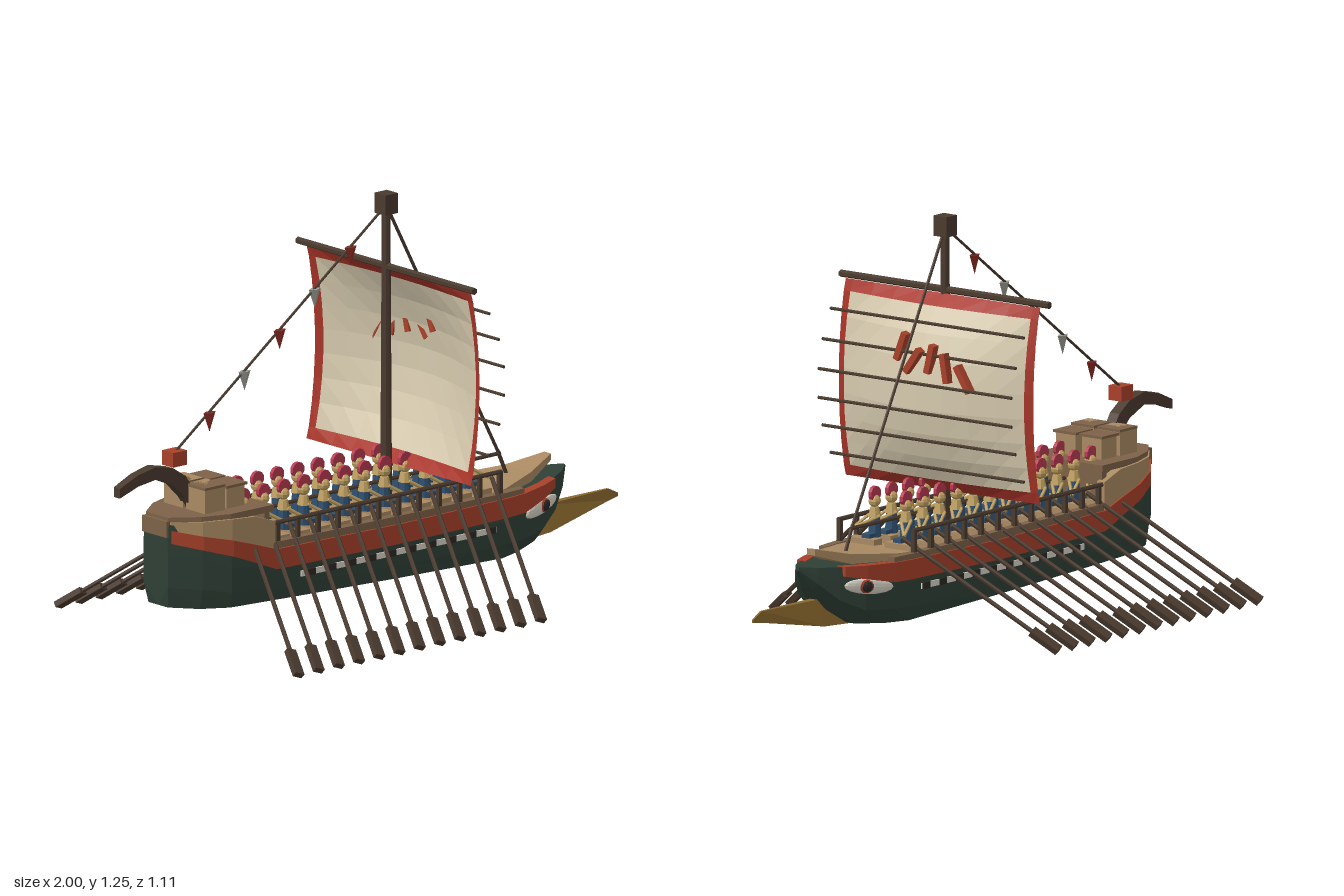
import * as THREE from 'three';

const mat = (color, side = THREE.FrontSide) => new THREE.MeshStandardMaterial({ color, flatShading: true, side });
const M = {
  hull: mat(0x2f4036), red: mat(0xa8412a), tan: mat(0xa98a62), brown: mat(0x4a3a2e), dark: mat(0x2b2624),
  gold: mat(0x8a682e), white: mat(0xd8d4c8), blue: mat(0x2f5070), skin: mat(0xc0a060), crest: mat(0xb83a50),
  pennantRed: mat(0x8a2a22), grey: mat(0x9a9a92), strake: mat(0x7d6248),
  cream: mat(0xd6caae, THREE.DoubleSide), border: mat(0xa83428, THREE.DoubleSide),
};

// Piecewise linear lookup in a table of [x, value]
function at(table, x) {
  for (let i = 1; i < table.length; i++) {
    const [x0, v0] = table[i - 1], [x1, v1] = table[i];
    if (x <= x1) return v0 + (v1 - v0) * Math.max(0, (x - x0) / (x1 - x0));
  }
  return table[table.length - 1][1];
}
const width = x => at([[-0.835, 0.055], [-0.76, 0.115], [-0.67, 0.147], [-0.4, 0.15], [0.42, 0.15],
  [0.5, 0.142], [0.6, 0.115], [0.68, 0.08], [0.74, 0.045], [0.785, 0.006]], x);
const waleY = x => at([[-0.835, 0.36], [-0.65, 0.31], [-0.5, 0.253], [0, 0.245], [0.5, 0.25], [0.68, 0.272]], x);

function triangles(pos) {
  const g = new THREE.BufferGeometry();
  g.setAttribute('position', new THREE.Float32BufferAttribute(pos.flat(), 3));
  g.computeVertexNormals();
  return g;
}

// Skin closed rings that run along +x; each ring turns from the bottom towards +z and up
function loft(rings) {
  const pos = [], n = rings[0].length, last = rings.length - 1;
  for (let i = 0; i < last; i++) for (let j = 0; j < n; j++) {
    const k = (j + 1) % n, a = rings[i][j], b = rings[i][k], c = rings[i + 1][k], d = rings[i + 1][j];
    pos.push(a, d, b, b, d, c);
  }
  for (let j = 1; j < n - 1; j++) {
    pos.push(rings[0][0], rings[0][j], rings[0][j + 1]);
    pos.push(rings[last][0], rings[last][j + 1], rings[last][j]);
  }
  return triangles(pos);
}
const boxRing = (x, y0, y1, z0, z1) => [[x, y0, z0], [x, y0, z1], [x, y1, z1], [x, y1, z0]];
const plate = rows => loft(rows.map(([x, y0, y1, w0, w1 = w0]) =>
  [[x, y0, -w0], [x, y0, w0], [x, y1, w1], [x, y1, -w1]]));

function add(parent, name, geometry, material, x = 0, y = 0, z = 0) {
  const m = new THREE.Mesh(geometry, material);
  m.name = name;
  m.position.set(x, y, z);
  parent.add(m);
  return m;
}
const box = (p, name, m, size, pos) => add(p, name, new THREE.BoxGeometry(...size), m, ...pos);

// Round bar between two points
function rod(parent, name, m, a, b, r0, r1 = r0, sides = 6) {
  const A = new THREE.Vector3(...a), B = new THREE.Vector3(...b), d = B.clone().sub(A);
  const mesh = add(parent, name, new THREE.CylinderGeometry(r1, r0, d.length(), sides), m);
  mesh.position.copy(A).add(B).multiplyScalar(0.5);
  mesh.quaternion.setFromUnitVectors(new THREE.Vector3(0, 1, 0), d.normalize());
  return mesh;
}

function buildHull(g) {
  // Stations: x, keel height, top height, bottom width factor
  const stations = [[-0.835, 0.14, 0.4, 0.8], [-0.76, 0.134, 0.38, 0.9], [-0.67, 0.13, 0.32, 0.95], [-0.4, 0.12, 0.27, 0.96],
    [0, 0.105, 0.27, 0.96], [0.42, 0.09, 0.27, 0.9], [0.5, 0.092, 0.275, 0.8], [0.6, 0.1, 0.28, 0.65],
    [0.68, 0.15, 0.284, 0.5], [0.74, 0.22, 0.288, 0.5], [0.785, 0.28, 0.292, 0.7]];
  add(g, 'hull', loft(stations.map(([x, b, t, k]) => {
    const w = width(x), h = t - b;
    const half = [[w * k, b], [w, b + h * 0.25], [w, b + h * 0.65], [w * 0.95, t]];
    const side = s => half.map(([z, y]) => [x - (x < -0.8 && y > 0.15 ? 0.01 : 0), y, s * z]);
    return [[x, b, 0], ...side(1), ...side(-1).reverse()];
  })), M.hull);
  add(g, 'ram', plate([[0.58, 0.095, 0.16, 0.04, 0.02], [0.7, 0.102, 0.182, 0.036, 0.014],
    [0.96, 0.15, 0.185, 0.008, 0.004], [1, 0.155, 0.165, 0.002]]), M.gold);

  // Bands that follow both sides
  const xs = [-0.835, -0.76, -0.67, -0.58, -0.5, -0.4, 0, 0.42, 0.5, 0.6, 0.67];
  const band = (name, m, list, low, high, out) => {
    const geo = loft(list.map(x => boxRing(x, low(x), high(x), Math.max(width(x) - 0.025, 0.005), width(x) + out)));
    for (const s of [1, -1]) add(g, name, geo, m).scale.z = s;
  };
  const tall = x => at([[-0.8, 0.02], [-0.5, 0.031], [0.5, 0.03], [0.67, 0.015]], x);
  band('wale', M.red, xs, x => waleY(x) - tall(x), x => waleY(x) + tall(x), 0.008);
  band('topStrake', M.strake, xs.slice(3, 9), x => waleY(x) + 0.025, x => at([[-0.5, 0.305], [0.5, 0.295]], x), 0.002);
  band('sternBulwark', M.tan, xs.slice(0, 5), x => waleY(x) + 0.015, x => at([[-0.6, 0.405], [-0.5, 0.37]], x), 0.003);
  box(g, 'sternPanel', M.strake, [0.015, 0.05, 0.11], [-0.843, 0.385, 0]);

  // Decks
  add(g, 'mainDeck', plate([[-0.7, 0.26, 0.285, 0.13], [0.42, 0.26, 0.285, 0.13]]), M.tan);
  add(g, 'foreDeck', plate([[0.36, 0.265, 0.292, 0.125], [0.45, 0.275, 0.296, 0.115], [0.6, 0.28, 0.31, 0.06],
    [0.72, 0.318, 0.338, 0.015]]), M.tan);
  add(g, 'sternDeck', plate([-0.84, -0.76, -0.67, -0.5].map(x => [x, 0.4, 0.42, width(x) - 0.005])), M.strake);
  box(g, 'sternBulkhead', M.strake, [0.02, 0.13, 0.27], [-0.52, 0.34, 0]);

  for (const s of [1, -1]) {
    // Oar port strip
    box(g, 'portStrip', M.white, [0.78, 0.018, 0.008], [-0.01, 0.19, s * 0.151]);
    for (let i = 0; i < 10; i++) box(g, 'oarPort', M.dark, [0.035, 0.02, 0.01], [-0.36 + i * 0.08, 0.19, s * 0.152]);
    // Bow eye
    const eye = new THREE.Group();
    eye.name = 'bowEye';
    eye.position.set(0.59, 0.218, s * 0.118);
    eye.rotation.set(0, s * 0.3, 0.12);
    add(eye, 'eyeWhite', new THREE.SphereGeometry(1, 14, 8), M.white).scale.set(0.09, 0.024, 0.01);
    add(eye, 'iris', new THREE.SphereGeometry(1, 10, 8), M.red, 0.012, 0, s * 0.003).scale.set(0.03, 0.021, 0.012);
    add(eye, 'pupil', new THREE.SphereGeometry(1, 10, 8), M.dark, 0.012, 0, s * 0.005).scale.set(0.022, 0.018, 0.014);
    g.add(eye);
  }
}

function buildStern(g) {
  add(g, 'sternTail', plate([[-1, 0.5, 0.53, 0.014], [-0.93, 0.525, 0.56, 0.016], [-0.86, 0.535, 0.574, 0.018],
    [-0.79, 0.505, 0.558, 0.018], [-0.74, 0.455, 0.525, 0.018], [-0.71, 0.41, 0.48, 0.018]]), M.brown);
  box(g, 'sternLantern', M.red, [0.055, 0.045, 0.05], [-0.77, 0.585, 0]);
  for (const z of [-0.05, 0.05]) {
    box(g, 'crate', M.tan, [0.08, 0.08, 0.085], [-0.69, 0.46, z]);
    box(g, 'crate', M.tan, [0.072, 0.07, 0.075], [-0.603, 0.455, z]);
    for (const x of [-0.69, -0.603]) box(g, 'crateLid', M.strake, [0.083, 0.008, 0.088], [x, x < -0.65 ? 0.496 : 0.488, z]);
  }
}

function buildRowers(g) {
  for (const s of [1, -1]) {
    rod(g, 'sideRail', M.brown, [-0.63, 0.362, s * 0.142], [0.41, 0.362, s * 0.142], 0.007);
    for (let i = 0; i < 13; i++) {
      const x = -0.585 + i * 0.0807;
      // Oar with blade
      const oar = new THREE.Group();
      oar.name = 'oar';
      const tip = new THREE.Vector3(x - 0.17, 0.016, s * 0.545), grip = new THREE.Vector3(x + 0.025, 0.335, s * 0.1);
      oar.position.copy(tip);
      oar.quaternion.setFromUnitVectors(new THREE.Vector3(0, 1, 0), grip.clone().sub(tip).normalize());
      const len = grip.distanceTo(tip);
      add(oar, 'oarShaft', new THREE.CylinderGeometry(0.007, 0.007, len, 6), M.brown, 0, len / 2, 0);
      box(oar, 'oarBlade', M.brown, [0.032, 0.1, 0.018], [0, 0.05, 0]);
      g.add(oar);
      box(g, 'railPost', M.brown, [0.013, 0.09, 0.013], [x + 0.02, 0.32, s * 0.142]);
      if (i === 0) continue;
      // Bench and seated rower
      box(g, 'bench', M.tan, [0.038, 0.025, 0.1], [x - 0.01, 0.298, s * 0.07]);
      const rower = new THREE.Group();
      rower.name = 'rower';
      rower.position.set(x - 0.045, 0.3, s * 0.06);
      add(rower, 'tunic', new THREE.CylinderGeometry(0.016, 0.02, 0.06, 8), M.blue, 0, 0.04, 0);
      box(rower, 'legs', M.blue, [0.045, 0.016, 0.03], [0.022, 0.015, 0]);
      add(rower, 'shoulders', new THREE.CylinderGeometry(0.013, 0.02, 0.03, 8), M.skin, 0, 0.085, 0);
      add(rower, 'head', new THREE.SphereGeometry(0.019, 8, 6), M.skin, 0, 0.118, 0);
      add(rower, 'crest', new THREE.CylinderGeometry(0.024, 0.024, 0.012, 10), M.crest, 0, 0.14, 0).rotation.x = Math.PI / 2;
      for (const a of [1, -1]) rod(rower, 'arm', M.skin, [0, 0.075, a * 0.02], [0.06, 0.038, s * 0.04], 0.005);
      g.add(rower);
    }
  }
  rod(g, 'centreRail', M.brown, [-0.5, 0.365, 0], [0.53, 0.37, 0], 0.006);
  rod(g, 'railStay', M.brown, [0.52, 0.38, 0], [0.56, 0.29, 0], 0.006);
}

function buildRig(g) {
  rod(g, 'mast', M.brown, [0.075, 0.28, 0], [0.075, 1.21, 0], 0.018, 0.013, 8);
  box(g, 'mastHead', M.brown, [0.05, 0.062, 0.05], [0.075, 1.225, 0]);
  rod(g, 'yard', M.brown, [0.075, 1.03, -0.4], [0.075, 1.03, 0.4], 0.011);

  // Billowing sail with a border
  const sailX = (y, z) => {
    const b = Math.pow(Math.max(0, Math.sin(Math.PI * (y - 0.42) / 0.6)), 0.75);
    return 0.085 + b * (0.035 + 0.09 * Math.cos(z * Math.PI / 0.74));
  };
  const lines = (c, half, inner, n) => [c - half,
    ...Array.from({ length: n + 1 }, (_, i) => c - inner + 2 * inner * i / n), c + half];
  const Z = lines(0, 0.372, 0.345, 8), Y = lines(0.72, 0.3, 0.265, 7), cream = [], border = [];
  for (let i = 0; i < Z.length - 1; i++) for (let j = 0; j < Y.length - 1; j++) {
    const p = (a, b) => [sailX(Y[b], Z[a]), Y[b], Z[a]];
    const edge = i === 0 || j === 0 || i === Z.length - 2 || j === Y.length - 2;
    (edge ? border : cream).push(p(i, j), p(i, j + 1), p(i + 1, j), p(i + 1, j), p(i, j + 1), p(i + 1, j + 1));
  }
  add(g, 'sail', triangles(cream), M.cream);
  add(g, 'sailBorder', triangles(border), M.border);
  for (const y of [0.94, 0.853, 0.765, 0.677, 0.59, 0.5]) {
    const x = sailX(y, 0) + 0.012;
    rod(g, 'sailBatten', M.brown, [x, y, -0.37], [x, y, 0.37], 0.005);
  }
  // Slanted stripes: z, y, tilt
  for (const [z, y, tilt] of [[0.073, 0.866, -0.37], [0.017, 0.83, -0.62], [-0.046, 0.842, -0.24], [-0.103, 0.82, 0.18], [-0.166, 0.794, 0.57]])
    box(g, 'sailStripe', M.red, [0.025, 0.09, 0.02], [sailX(y, z) + 0.012, y, z]).rotation.x = tilt;

  // Stays and pennants
  rod(g, 'forestay', M.brown, [0.08, 1.21, 0], [0.525, 0.37, 0], 0.005);
  rod(g, 'backstay', M.brown, [0.07, 1.215, 0], [-0.77, 0.6, 0], 0.004);
  [-0.63, -0.49, -0.35, -0.21, -0.067].forEach((x, i) => {
    const p = add(g, 'pennant', new THREE.ConeGeometry(0.024, 0.06, 4), i % 2 ? M.grey : M.pennantRed, x, 0.67 + (x + 0.63) * 0.735, 0);
    p.rotation.x = Math.PI;
    p.scale.z = 0.6;
  });
}

export function createModel() {
  const root = new THREE.Group();
  root.name = 'galley';
  for (const [name, build] of [['hullGroup', buildHull], ['sternGroup', buildStern], ['rowerGroup', buildRowers], ['rigGroup', buildRig]]) {
    const g = new THREE.Group();
    g.name = name;
    build(g);
    root.add(g);
  }
  return root;
}
